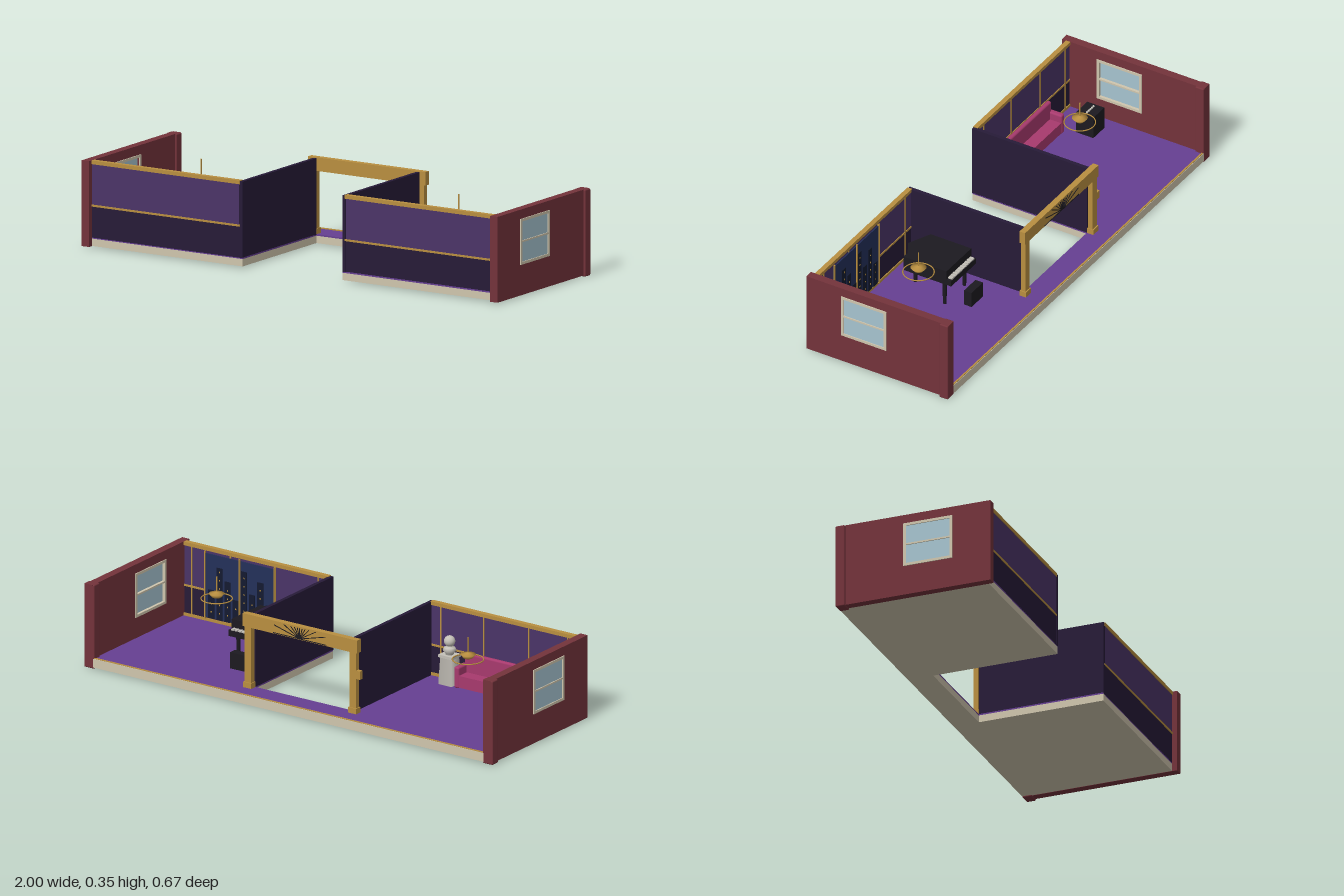
import * as THREE from 'three';
import { RoundedBoxGeometry } from 'three/addons/geometries/RoundedBoxGeometry.js';

const mat = (color) => new THREE.MeshStandardMaterial({ color, side: THREE.DoubleSide });
const M = {
  red: mat(0x74333b), purple: mat(0x663f92), wall: mat(0x4b3468), dark: mat(0x271b38),
  gold: mat(0xb98f40), cream: mat(0xd0c6ae), glass: mat(0xa6c4d0), black: mat(0x1c1a20),
  pink: mat(0xa83a6e), stone: mat(0xc4c0b8), navy: mat(0x24305a), night: mat(0x141a30),
};

function mesh(parent, name, geo, material, x = 0, y = 0, z = 0) {
  const m = new THREE.Mesh(geo, material);
  m.name = name;
  m.position.set(x, y, z);
  parent.add(m);
  return m;
}

// Box given by its lower and upper limits on each axis
function box(parent, name, material, x0, x1, y0, y1, z0, z1) {
  const geo = new THREE.BoxGeometry(Math.abs(x1 - x0), y1 - y0, z1 - z0);
  return mesh(parent, name, geo, material, (x0 + x1) / 2, (y0 + y1) / 2, (z0 + z1) / 2);
}

function group(parent, name, x = 0, y = 0, z = 0) {
  const g = new THREE.Group();
  g.name = name;
  g.position.set(x, y, z);
  parent.add(g);
  return g;
}

// U-shaped floor layer, drawn in plan
function floorLayer(parent, name, material, y0, y1) {
  const pts = [[-0.97, -0.33], [0.97, -0.33], [0.97, 0.312], [0.238, 0.312],
    [0.238, -0.225], [-0.238, -0.225], [-0.238, 0.312], [-0.97, 0.312]];
  const shape = new THREE.Shape(pts.map(([x, z]) => new THREE.Vector2(x, -z)));
  const geo = new THREE.ExtrudeGeometry(shape, { depth: y1 - y0, bevelEnabled: false });
  geo.rotateX(-Math.PI / 2);
  mesh(parent, name, geo, material, 0, y0, 0);
}

// End wall with its window and corner pilaster; s is the side
function endWall(parent, s) {
  const g = group(parent, 'endWall');
  const shape = new THREE.Shape([[-0.333, 0.005], [0.333, 0.005], [0.333, 0.355], [-0.333, 0.355]]
    .map(([z, y]) => new THREE.Vector2(-z, y)));
  shape.holes.push(new THREE.Path([[-0.03, 0.14], [0.16, 0.14], [0.16, 0.305], [-0.03, 0.305]]
    .map(([z, y]) => new THREE.Vector2(-z, y))));
  const geo = new THREE.ExtrudeGeometry(shape, { depth: 0.035, bevelEnabled: false });
  geo.rotateY(Math.PI / 2);
  mesh(g, 'wallPanel', geo, M.red, s > 0 ? 0.957 : -0.992, 0, 0);
  mesh(g, 'pilaster', new RoundedBoxGeometry(0.05, 0.355, 0.04, 2, 0.005), M.red, s * 0.975, 0.1775, -0.313);
  const a = s * 0.953, b = s * 0.996;
  for (const z of [-0.042, 0.158]) box(g, 'windowJamb', M.cream, a, b, 0.13, 0.317, z, z + 0.012);
  for (const y of [0.13, 0.221, 0.306]) box(g, 'windowRail', M.cream, a, b, y, y + (y === 0.221 ? 0.007 : 0.011), -0.03, 0.158);
  box(g, 'windowPane', M.glass, s * 0.965, s * 0.992, 0.14, 0.307, -0.031, 0.159);
}

// Front wall of one room, with gold mouldings on both faces, and the passage wall
function roomWalls(parent, s) {
  const g = group(parent, 'roomWalls');
  const a = s * 0.25, b = s * 0.957;
  box(g, 'lowerFrontWall', M.dark, a, b, 0.04, 0.17, 0.298, 0.312);
  box(g, 'upperFrontWall', M.wall, a, b, 0.17, 0.345, 0.298, 0.312);
  box(g, 'chairRail', M.gold, a, b, 0.167, 0.175, 0.295, 0.315);
  box(g, 'crownMoulding', M.gold, a, b, 0.34, 0.355, 0.294, 0.315);
  box(g, 'baseboard', M.gold, a, b, 0.04, 0.054, 0.294, 0.3);
  for (const x of [0.3, 0.51, 0.73, 0.92])
    box(g, 'wallBatten', M.gold, s * (x - 0.003), s * (x + 0.003), 0.054, 0.34, 0.295, 0.3);
  box(g, 'passageWall', M.dark, s * 0.238, s * 0.254, 0.04, 0.352, -0.225, 0.313);
}

// Night skyline mural inside the front wall of the piano room
function mural(parent) {
  const g = group(parent, 'skylineMural');
  box(g, 'nightSky', M.navy, 0.51, 0.85, 0.06, 0.33, 0.291, 0.296);
  const heights = [0.11, 0.2, 0.14, 0.23, 0.1, 0.17, 0.22, 0.12];
  heights.forEach((h, i) => {
    const x = 0.525 + i * 0.04;
    box(g, 'tower', M.night, x, x + 0.028, 0.06, 0.06 + h, 0.288, 0.291);
    for (let k = 1; k < h / 0.035; k++)
      box(g, 'litWindow', M.gold, x + 0.01, x + 0.015, 0.05 + k * 0.035, 0.056 + k * 0.035, 0.287, 0.288);
  });
  for (const x of [0.507, 0.677, 0.847]) box(g, 'muralMullion', M.gold, x, x + 0.006, 0.054, 0.34, 0.286, 0.292);
}

// Gold doorway with a sunburst on its back
function doorway(parent) {
  const g = group(parent, 'doorway');
  box(g, 'lintel', M.gold, -0.28, 0.28, 0.3, 0.355, -0.253, -0.227);
  for (const s of [-1, 1]) {
    box(g, 'doorPost', M.gold, s * 0.24, s * 0.272, 0.04, 0.3, -0.25, -0.229);
    box(g, 'postPlinth', M.gold, s * 0.237, s * 0.277, 0.04, 0.065, -0.255, -0.226);
  }
  for (let i = 0; i <= 12; i++) {
    const t = Math.PI * i / 12, c = Math.cos(t), n = Math.sin(t);
    const len = Math.min(0.13, 0.045 / Math.max(n, 0.01));
    const ray = mesh(g, 'sunburstRay', new THREE.BoxGeometry(len, 0.003, 0.003), M.black,
      c * len / 2, 0.304 + n * len / 2, -0.2535);
    ray.rotation.z = t;
  }
  box(g, 'wallBracket', M.gold, -0.292, -0.272, 0.19, 0.225, -0.25, -0.232);
}

function chandelier(parent, x) {
  const g = group(parent, 'chandelier', x, 0, 0.04);
  mesh(g, 'rod', new THREE.CylinderGeometry(0.003, 0.003, 0.075, 8), M.gold, 0, 0.315, 0);
  const bowl = [[0, 0.262], [0.018, 0.266], [0.032, 0.282], [0.01, 0.286], [0, 0.292]];
  mesh(g, 'bowl', new THREE.LatheGeometry(bowl.map((p) => new THREE.Vector2(...p)), 24), M.gold);
  const ring = mesh(g, 'ring', new THREE.TorusGeometry(0.063, 0.0025, 6, 36), M.gold, 0, 0.26, 0);
  ring.rotation.x = Math.PI / 2;
}

function piano(parent) {
  const g = group(parent, 'piano');
  const outline = new THREE.Shape();
  outline.moveTo(0.31, 0.02).lineTo(0.5, 0.02).lineTo(0.5, -0.18).lineTo(0.47, -0.18)
    .lineTo(0.41, -0.215).lineTo(0.31, -0.17).closePath();
  const geo = new THREE.ExtrudeGeometry(outline, { depth: 0.065, bevelEnabled: false });
  geo.rotateX(-Math.PI / 2);
  mesh(g, 'pianoCase', geo, M.black, 0, 0.15, 0);
  box(g, 'keyBed', M.black, 0.31, 0.5, 0.15, 0.175, -0.042, -0.02);
  for (let i = 0; i < 10; i++)
    box(g, 'key', M.stone, 0.318 + i * 0.0175, 0.331 + i * 0.0175, 0.175, 0.181, -0.04, -0.02);
  for (const [x, z] of [[0.33, 0], [0.48, 0], [0.41, 0.18]])
    mesh(g, 'pianoLeg', new THREE.CylinderGeometry(0.01, 0.007, 0.11, 10), M.black, x, 0.095, z);
  box(g, 'pianoBench', M.black, 0.36, 0.447, 0.04, 0.11, -0.105, -0.07);
}

function sofa(parent) {
  const g = group(parent, 'sofa');
  box(g, 'sofaSeat', M.pink, -0.77, -0.44, 0.05, 0.1, 0.22, 0.28);
  mesh(g, 'sofaBack', new RoundedBoxGeometry(0.35, 0.13, 0.02, 2, 0.008), M.pink, -0.605, 0.115, 0.283);
  for (const x of [-0.778, -0.43]) {
    mesh(g, 'sofaArm', new RoundedBoxGeometry(0.025, 0.09, 0.07, 2, 0.008), M.pink, x, 0.09, 0.253);
  }
}

// Pedestal with a stone bust
function bust(parent) {
  const g = group(parent, 'bust', -0.37, 0, 0.258);
  const plinth = mesh(g, 'pedestal', new THREE.CylinderGeometry(0.038, 0.046, 0.12, 4), M.stone, 0, 0.1, 0);
  plinth.rotation.y = Math.PI / 4;
  box(g, 'pedestalTop', M.stone, -0.035, 0.035, 0.155, 0.166, -0.03, 0.03);
  const profile = [[0.016, 0.166], [0.018, 0.172], [0.028, 0.185], [0.022, 0.196], [0.01, 0.2], [0.01, 0.212]];
  mesh(g, 'shoulders', new THREE.LatheGeometry(profile.map((p) => new THREE.Vector2(...p)), 20), M.stone);
  mesh(g, 'head', new THREE.SphereGeometry(0.023, 20, 14), M.stone, 0, 0.222, 0);
}

function cabinet(parent) {
  const g = group(parent, 'cabinet');
  box(g, 'cabinetBody', M.black, -0.9, -0.815, 0.04, 0.14, 0.1, 0.18);
  for (let i = 0; i < 5; i++)
    mesh(g, 'knob', new THREE.SphereGeometry(0.005, 8, 6), M.stone, -0.883 + i * 0.0125, 0.142, 0.14);
}

export function createModel() {
  const model = new THREE.Group();
  model.name = 'loungeSet';
  floorLayer(model, 'floorSlab', M.cream, 0.006, 0.036);
  floorLayer(model, 'carpet', M.purple, 0.036, 0.042);
  box(model, 'backEdgeTrim', M.cream, -0.955, 0.955, 0.006, 0.043, -0.333, -0.328);
  box(model, 'backEdgeStrip', M.gold, -0.955, 0.955, 0.04, 0.046, -0.331, -0.324);
  for (const s of [-1, 1]) {
    endWall(model, s);
    roomWalls(model, s);
    chandelier(model, s * 0.615);
  }
  mural(model);
  doorway(model);
  piano(model);
  sofa(model);
  bust(model);
  cabinet(model);
  return model;
}
